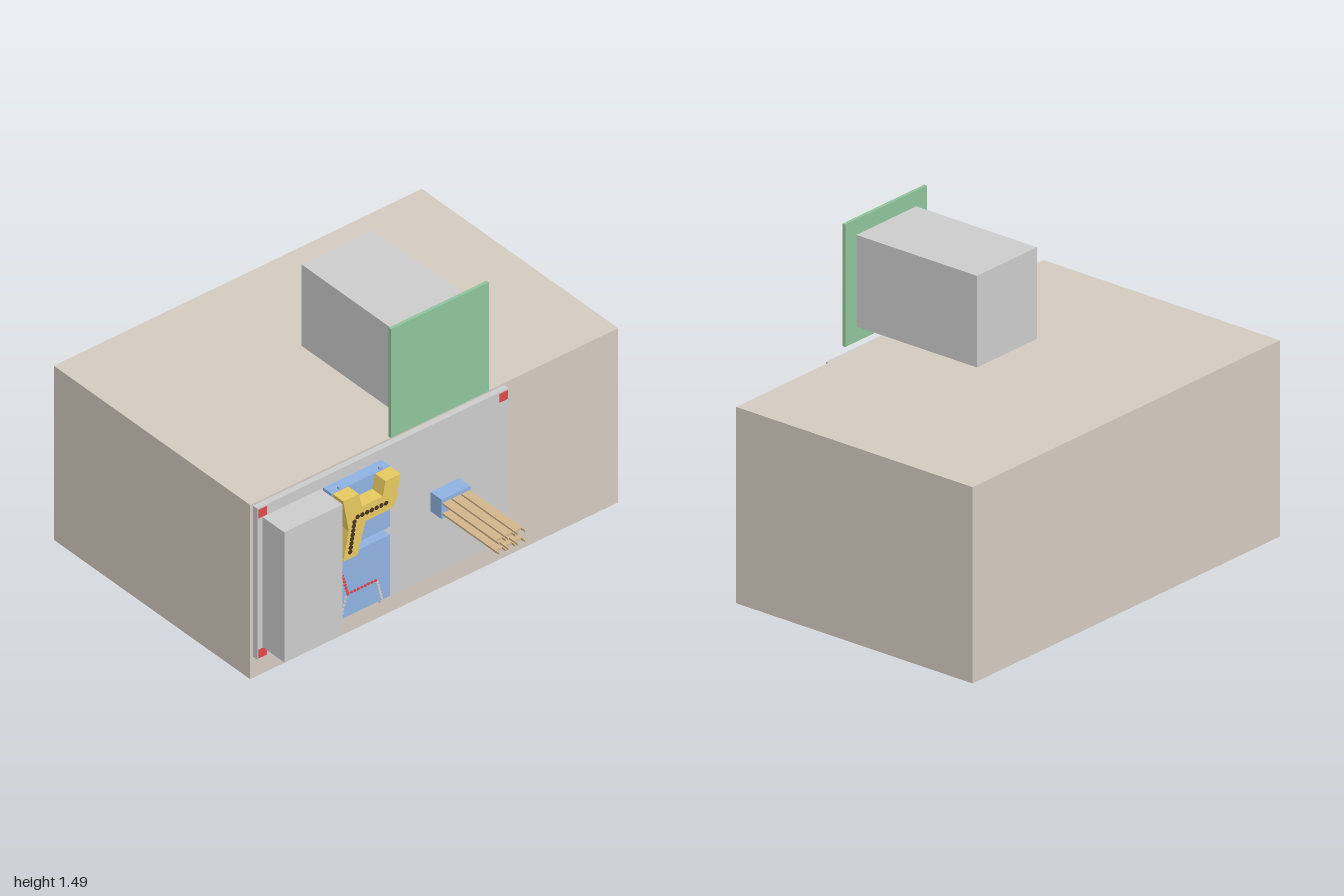
import * as THREE from 'three';

const mat = (color) => new THREE.MeshStandardMaterial({ color });
const grey = mat(0xcccccc);
const stone = mat(0xd3cabf);
const red = mat(0xe04848);
const blue = mat(0x8fb2e0);
const yellow = mat(0xe6c860);
const green = mat(0x8fc49a);
const tan = mat(0xd2b48c);
const dark = mat(0x4a3420);

export function createModel() {
  const model = new THREE.Group();

  const add = (name, geometry, material, parent = model) => {
    const mesh = new THREE.Mesh(geometry, material);
    mesh.name = name;
    parent.add(mesh);
    return mesh;
  };

  // Box given by its limits on each axis
  const box = (name, material, [x0, x1], [y0, y1], [z0, z1], parent = model) => {
    const mesh = add(name, new THREE.BoxGeometry(x1 - x0, y1 - y0, z1 - z0), material, parent);
    mesh.position.set((x0 + x1) / 2, (y0 + y1) / 2, (z0 + z1) / 2);
    return mesh;
  };

  // Row of small round studs along a line, facing the front
  const studRow = (name, material, [ax, ay], [bx, by], z, count, radius, depth) => {
    const row = new THREE.Group();
    row.name = name;
    const geometry = new THREE.CylinderGeometry(radius, radius, depth, 10).rotateX(Math.PI / 2);
    for (let i = 0; i < count; i++) {
      const t = i / (count - 1);
      add('stud', geometry, material, row).position.set(ax + (bx - ax) * t, ay + (by - ay) * t, z);
    }
    model.add(row);
  };

  // Round pin between two points
  const pin = (name, material, a, b, radius) => {
    const from = new THREE.Vector3(...a), to = new THREE.Vector3(...b);
    const path = new THREE.LineCurve3(from, to);
    const mesh = add(name, new THREE.CylinderGeometry(radius, radius, path.getLength(), 10), material);
    mesh.position.copy(from).lerp(to, 0.5);
    mesh.quaternion.setFromUnitVectors(new THREE.Vector3(0, 1, 0), to.sub(from).normalize());
  };

  // Main body and the plate on its front
  box('body', stone, [-1, 1], [0, 0.9], [-0.885, 0.412]);
  box('frontPlate', grey, [-0.985, 0.38], [0.11, 0.89], [0.412, 0.441]);
  for (const x of [-0.957, 0.353])
    for (const y of [0.137, 0.86])
      box('cornerMarker', red, [x - 0.022, x + 0.022], [y - 0.022, y + 0.022], [0.41, 0.443]);

  // Raised block with its panel
  box('upperBlock', grey, [-0.19, 0.2], [0.995, 1.415], [-0.235, 0.427]);
  box('upperPanel', green, [-0.26, 0.272], [0.925, 1.487], [0.427, 0.442]);

  // Blocks on the plate
  box('sideBlock', grey, [-0.957, -0.64], [0.163, 0.835], [0.441, 0.585]);
  box('upperBase', blue, [-0.627, -0.31], [0.52, 0.835], [0.441, 0.497]);
  box('lowerBase', blue, [-0.627, -0.31], [0.163, 0.48], [0.441, 0.497]);

  // Branching bracket with a curved right arm
  const outline = new THREE.Shape();
  outline.moveTo(-0.622, 0.832);
  outline.lineTo(-0.592, 0.665);
  outline.lineTo(-0.622, 0.52);
  outline.lineTo(-0.545, 0.52);
  outline.lineTo(-0.5, 0.675);
  outline.lineTo(-0.39, 0.675);
  outline.bezierCurveTo(-0.345, 0.675, -0.33, 0.7, -0.327, 0.745);
  outline.lineTo(-0.31, 0.832);
  outline.lineTo(-0.392, 0.832);
  outline.lineTo(-0.407, 0.76);
  outline.lineTo(-0.52, 0.76);
  outline.lineTo(-0.537, 0.832);
  const bracket = add('bracket', new THREE.ExtrudeGeometry(outline, {
    depth: 0.07, bevelEnabled: false, curveSegments: 10,
  }), yellow);
  bracket.position.z = 0.497;

  // Small rounded inset on the bracket's right arm
  const inset = add('bracketInset', new THREE.CapsuleGeometry(0.009, 0.02, 4, 10), dark);
  inset.position.set(-0.321, 0.8, 0.535);

  // Studs following the arms of the bracket and the lower base
  studRow('bracketStuds', dark, [-0.545, 0.718], [-0.39, 0.718], 0.567, 7, 0.011, 0.006);
  studRow('bracketStemStuds', dark, [-0.585, 0.555], [-0.562, 0.7], 0.567, 8, 0.011, 0.006);
  studRow('baseStuds', red, [-0.54, 0.28], [-0.39, 0.28], 0.497, 9, 0.007, 0.008);
  studRow('baseStemStuds', red, [-0.585, 0.44], [-0.545, 0.295], 0.497, 9, 0.007, 0.008);
  studRow('baseLeftStuds', grey, [-0.553, 0.265], [-0.576, 0.175], 0.497, 6, 0.007, 0.008);
  studRow('baseRightStuds', grey, [-0.38, 0.265], [-0.357, 0.175], 0.497, 6, 0.007, 0.008);

  // Pins showing at the top and bottom edges
  for (const [x, lean] of [[-0.579, -0.005], [-0.354, 0.005]]) {
    pin('topPin', blue, [x - lean, 0.8, 0.487], [x, 0.848, 0.487], 0.009);
    pin('bottomPin', grey, [x - lean, 0.19, 0.487], [x, 0.147, 0.487], 0.009);
  }

  // Socket with two rows of three flat prongs, each notched at the tip
  box('socket', blue, [-0.045, 0.112], [0.448, 0.548], [0.441, 0.515]);
  for (const y of [0.472, 0.524])
    for (const x of [-0.018, 0.034, 0.086]) {
      const prong = new THREE.Group();
      prong.name = 'prong';
      box('prongStrip', tan, [x - 0.022, x + 0.022], [y - 0.005, y + 0.005], [0.5, 0.862], prong);
      for (const side of [-1, 1]) {
        const tip = x + side * 0.019;
        box('prongTip', tan, [tip - 0.003, tip + 0.003], [y - 0.005, y + 0.005], [0.862, 0.885], prong);
      }
      model.add(prong);
    }

  return model;
}
